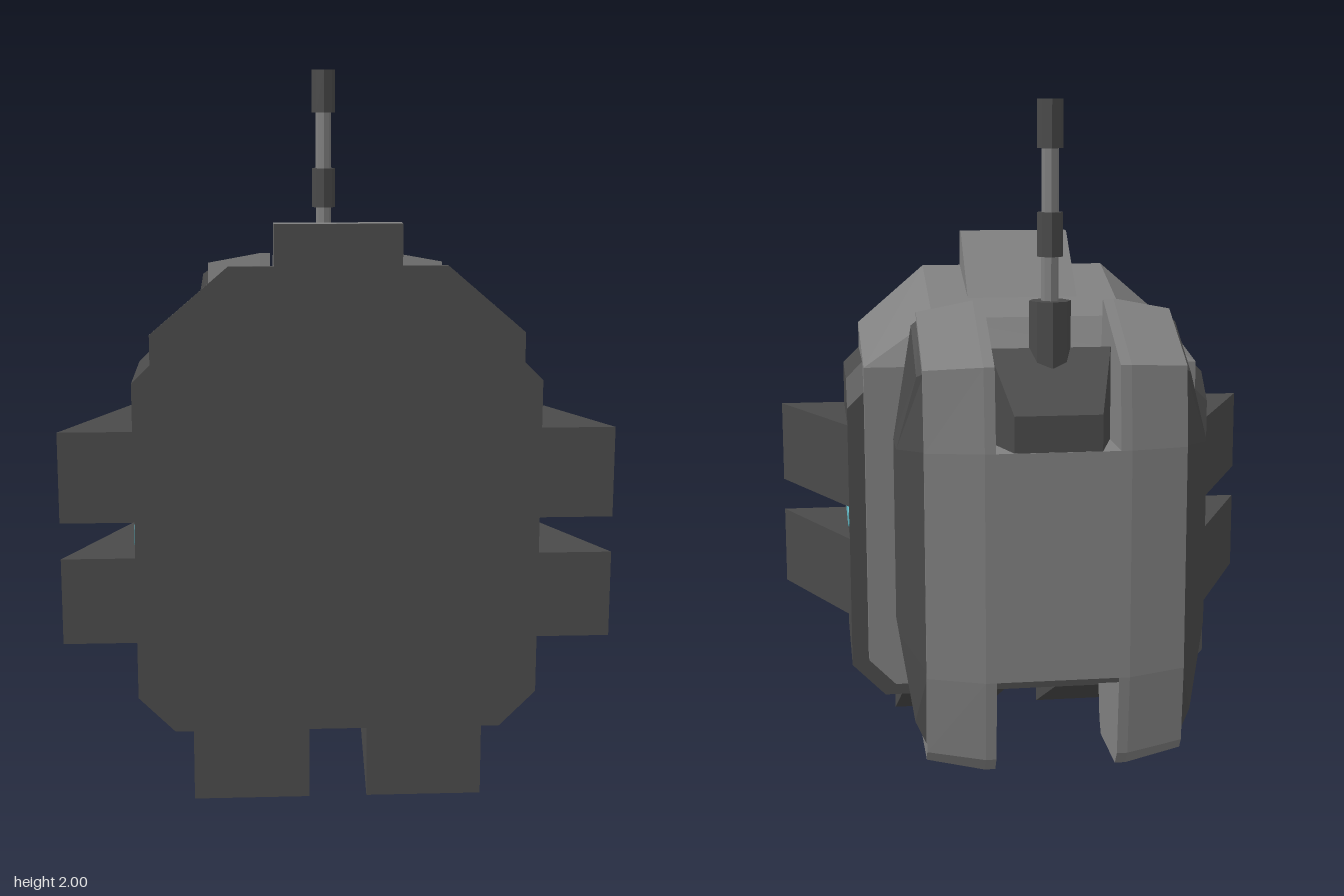
import * as THREE from 'three';

const dark = new THREE.MeshStandardMaterial({ color: 0x4a4a4a });
dark.name = 'dark grey';
const light = new THREE.MeshStandardMaterial({ color: 0x808080 });
light.name = 'light grey';
const glow = new THREE.MeshStandardMaterial({ color: 0x62bcc9 });
glow.name = 'teal glow';

// Joins rings of [x, y, z] points into a closed, flat-faced solid.
// Each end is closed in strips between point i and its partner n-1-i.
function loft(rings) {
  const n = rings[0].length, tris = [];
  const quad = (a, b, c, d) => tris.push([a, b, c], [a, c, d]);
  for (let r = 0; r < rings.length - 1; r++)
    for (let i = 0; i < n; i++) {
      const j = (i + 1) % n;
      quad(rings[r][i], rings[r][j], rings[r + 1][j], rings[r + 1][i]);
    }
  const first = rings[0], last = rings[rings.length - 1];
  for (let i = 0; i < n / 2 - 1; i++) {
    const k = n - 1 - i;
    quad(first[k], first[k - 1], first[i + 1], first[i]);
    quad(last[i], last[i + 1], last[k - 1], last[k]);
  }
  // turn the faces outward
  const va = new THREE.Vector3(), vb = new THREE.Vector3(), vc = new THREE.Vector3();
  let volume = 0;
  for (const [a, b, c] of tris)
    volume += va.fromArray(a).dot(vb.fromArray(b).cross(vc.fromArray(c)));
  if (volume < 0) tris.forEach((t) => t.reverse());
  const g = new THREE.BufferGeometry();
  g.setAttribute('position', new THREE.Float32BufferAttribute(tris.flat(2), 3));
  g.computeVertexNormals();
  return g;
}

// Straight solids: an outline swept along one axis
const alongX = (zy, x0, x1) => loft([x0, x1].map((x) => zy.map(([z, y]) => [x, y, z])));
const alongY = (xz, y0, y1) => loft([y0, y1].map((y) => xz.map(([x, z]) => [x, y, z])));

// Completes a right-hand half outline with its mirror image
const symmetric = (half) => [...half, ...half.map(([x, ...rest]) => [-x, ...rest]).reverse()];
const atZ = (half, z) => symmetric(half.map(([x, y]) => [x, y, z]));

// Strip outline with clipped ends: u across, z along
function strip(u, w, z0, z1) {
  const c = w * 0.35;
  return [[u - w + c, z0], [u - w, z0 + c], [u - w, z1 - c], [u - w + c, z1],
    [u + w - c, z1], [u + w, z1 - c], [u + w, z0 + c], [u + w - c, z0]];
}

function flatCylinder(rTop, rBottom, height, sides) {
  const g = new THREE.CylinderGeometry(rTop, rBottom, height, sides).toNonIndexed();
  g.computeVertexNormals();
  return g;
}

export function createModel() {
  const model = new THREE.Group();
  const add = (name, geometry, material, x = 0, y = 0, z = 0) => {
    const m = new THREE.Mesh(geometry, material);
    m.name = name;
    m.position.set(x, y, z);
    model.add(m);
    return m;
  };

  // Main block and back plate
  const block = [[0.45, 0.2], [0.55, 0.3], [0.55, 1.18], [0.5, 1.23]];
  const blockBack = [[0.45, 0.2], [0.55, 0.3], [0.55, 1.1], [0.5, 1.15]];
  add('mainBlock', loft([atZ(blockBack, 0.08), atZ(block, 0.16), atZ(block, 0.51)]), dark);
  const plate = [[0.42, 0.25], [0.5, 0.33], [0.5, 1.18], [0.47, 1.23]];
  add('backPlate', loft([atZ(plate, 0.03), atZ(plate, 0.085)]), light);

  // Faceted hood with a raised centre ridge and a dark front
  add('hood', loft([
    symmetric([[0.5, 1.16, 0.03], [0.5, 1.23, 0.03], [0.29, 1.365, 0.1]]),
    atZ([[0.5, 1.16], [0.5, 1.31], [0.29, 1.49]], 0.508),
  ]), light);
  add('hoodRidge', alongX([[0.2, 1.3], [0.24, 1.405], [0.465, 1.6],
    [0.508, 1.6], [0.508, 1.4], [0.508, 1.3]], -0.17, 0.17), light);
  const front = symmetric([[0.5, 1.2], [0.5, 1.31], [0.29, 1.49], [0.17, 1.49], [0.17, 1.6]]);
  add('hoodFront', new THREE.ShapeGeometry(
    new THREE.Shape(front.map(([x, y]) => new THREE.Vector2(x, y)))), dark, 0, 0, 0.511);

  for (const s of [1, -1]) {
    const side = s > 0 ? 'left' : 'right';

    // Wedge fins on the sides and below
    const fin = [[0.53, 0.08], [0.55, 0.08], [0.75, 0.51], [0.53, 0.51]].map(([x, z]) => [s * x, z]);
    add(side + 'LowerFin', alongY(fin, 0.46, 0.7), dark);
    add(side + 'UpperFin', alongY(fin, 0.8, 1.05), dark);
    add(side + 'Foot', alongX([[0.08, 0.22], [0.08, 0.2], [0.51, 0], [0.51, 0.22]],
      s * 0.08, s * 0.4), dark);
    add(side + 'SideLight', alongX(strip(0.757, 0.028, 0.11, 0.49).map(([y, z]) => [z, y]),
      s * 0.547, s * 0.553), glow);

    // Rear pod: tapered shell and raised dark cover
    const outline = [[-0.235, 0.16], [-0.21, 0.2], [-0.165, 0.43], [-0.165, 1.07], [-0.21, 1.45],
      [-0.49, 1.3], [-0.513, 1.07], [-0.513, 0.43], [-0.49, 0.2], [-0.46, 0.16]];
    const inset = [[-0.24, 0.19], [-0.22, 0.22], [-0.175, 0.44], [-0.175, 1.07], [-0.22, 1.42],
      [-0.46, 1.29], [-0.48, 1.07], [-0.48, 0.44], [-0.46, 0.22], [-0.44, 0.19]];
    add(side + 'PodShell', loft([
      outline.map(([z, y]) => [s * 0.17, y, z]),
      outline.map(([z, y]) => [s * 0.2, y, z]),
      inset.map(([z, y]) => [s * 0.36, y, z]),
    ]), light);
    const rim = [[-0.235, 0.225], [-0.185, 0.45], [-0.185, 1.07], [-0.225, 1.4],
      [-0.445, 1.28], [-0.47, 1.07], [-0.47, 0.45], [-0.44, 0.225]];
    const crown = [[0.39, 0.3, -0.245], [0.43, 0.55, -0.255], [0.43, 1.07, -0.255], [0.375, 1.385, -0.23],
      [0.375, 1.27, -0.435], [0.43, 1.07, -0.41], [0.43, 0.55, -0.41], [0.39, 0.3, -0.43]];
    add(side + 'PodCover', loft([
      rim.map(([z, y]) => [s * 0.355, y, z]),
      crown.map(([x, y, z]) => [s * x, y, z]),
    ]), dark);

    // Vent light under the rear block
    add(side + 'VentLight', alongY(strip(s * 0.07, 0.035, -0.45, -0.24), 0.412, 0.42), glow);
  }
  add('bottomLight', alongY(strip(0, 0.035, 0.11, 0.49), 0.197, 0.203), glow);

  // Neck between the two halves
  const neck = [['neckFlange', 0.3, 0.34, 0.09, -0.015], ['neckTube', 0.24, 0.24, 0.08, -0.1],
    ['neckEnd', 0.22, 0.24, 0.04, -0.16]];
  for (const [name, r1, r0, h, z] of neck)
    add(name, flatCylinder(r1, r0, h, 12), dark, 0, 0.757, z).rotation.x = -Math.PI / 2;

  // Rear block joining the pods, with a dark vent panel beneath
  add('rearBlock', new THREE.BoxGeometry(0.345, 0.64, 0.348), light, 0, 0.75, -0.339);
  add('ventPanel', new THREE.BoxGeometry(0.34, 0.02, 0.34), dark, 0, 0.426, -0.339);

  // Ridged antenna mount
  const station = (w, top, z) => [[w, 1.05, z], [w, top, z], [-w, top, z], [-w, 1.05, z]];
  add('antennaMount', loft([station(0.12, 1.17, -0.511), station(0.17, 1.33, -0.34),
    station(0.12, 1.12, -0.168)]), dark);

  // Antenna: socket, rod and two sleeves
  const antenna = [['antennaSocket', 0.058, 1.28, 1.46, dark], ['antennaRod', 0.024, 1.44, 1.95, light],
    ['antennaLowerSleeve', 0.036, 1.58, 1.7, dark], ['antennaTip', 0.036, 1.87, 2, dark]];
  for (const [name, r, y0, y1, mat] of antenna)
    add(name, flatCylinder(r, r, y1 - y0, 8), mat, 0, (y0 + y1) / 2, -0.337);

  return model;
}
